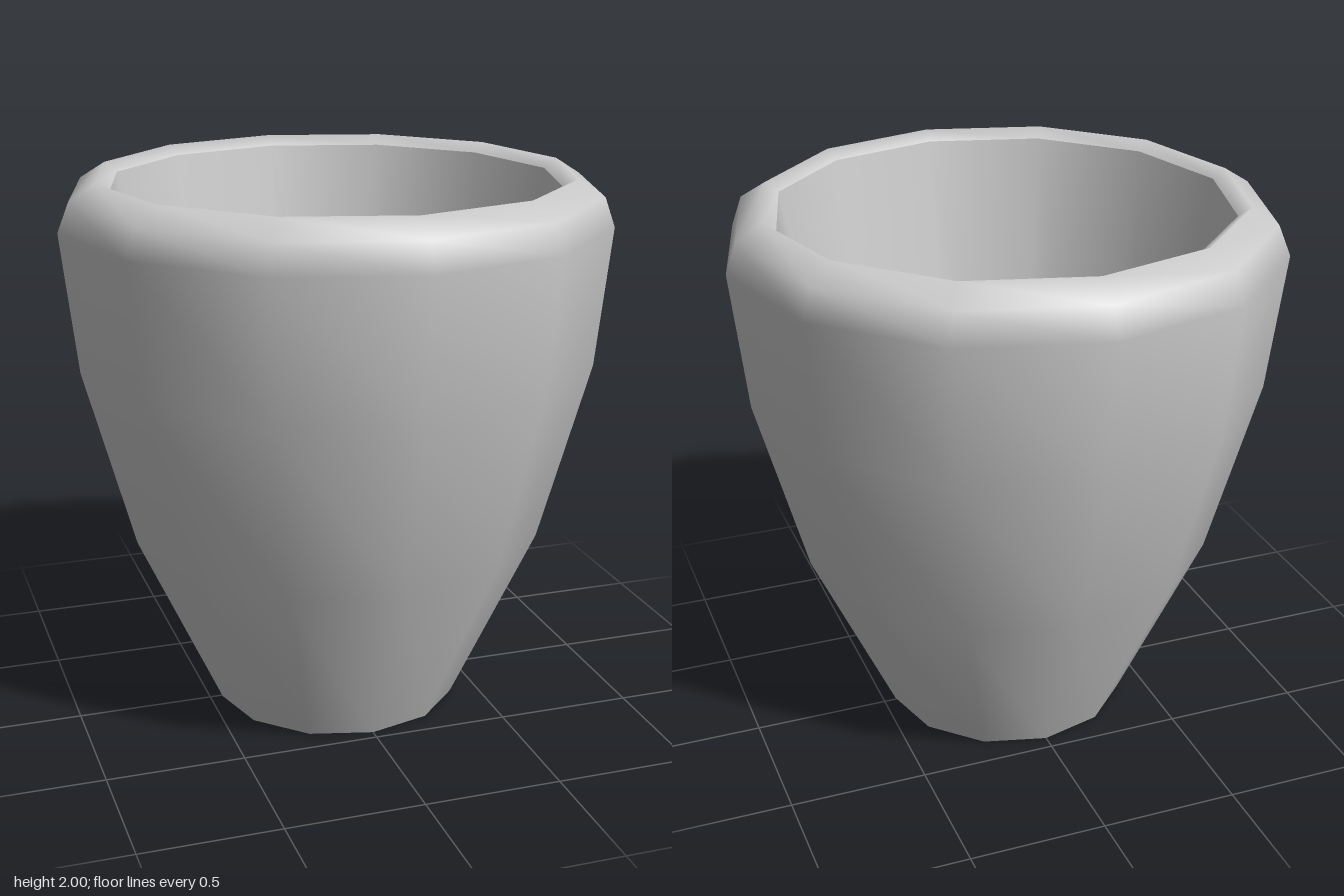
import * as THREE from 'three';

const SIDES = 12;

// Revolves a profile of [radius, height] pairs; runs up for outward faces, down for inward ones.
function revolve(name, profile, material) {
  const points = profile.map(([r, y]) => new THREE.Vector2(r, y));
  const geometry = new THREE.LatheGeometry(points, SIDES);
  // Every ring but the widest sits slightly towards the front.
  const pos = geometry.attributes.position;
  for (let i = 0; i < pos.count; i++) {
    if (Math.abs(pos.getY(i) - 1.835) > 0.01) pos.setZ(i, pos.getZ(i) + 0.008);
  }
  const mesh = new THREE.Mesh(geometry, material);
  mesh.name = name;
  return mesh;
}

export function createModel() {
  const cup = new THREE.Group();
  cup.name = 'cup';
  const material = new THREE.MeshStandardMaterial({ color: 0xcccccc });

  // Separate surfaces keep the base, floor and inner lip edges sharp.
  cup.add(
    revolve('base', [[0, 0], [0.453, 0]], material),
    revolve('outerWallAndRim', [
      [0.453, 0], [0.76, 0.67], [0.94, 1.335], [0.995, 1.835],
      [0.955, 1.94], [0.86, 2], [0.813, 1.965],
    ], material),
    // Straight tapering inside
    revolve('innerWall', [[0.813, 1.965], [0.498, 0.28]], material),
    revolve('innerFloor', [[0.498, 0.28], [0, 0.28]], material),
  );
  return cup;
}
